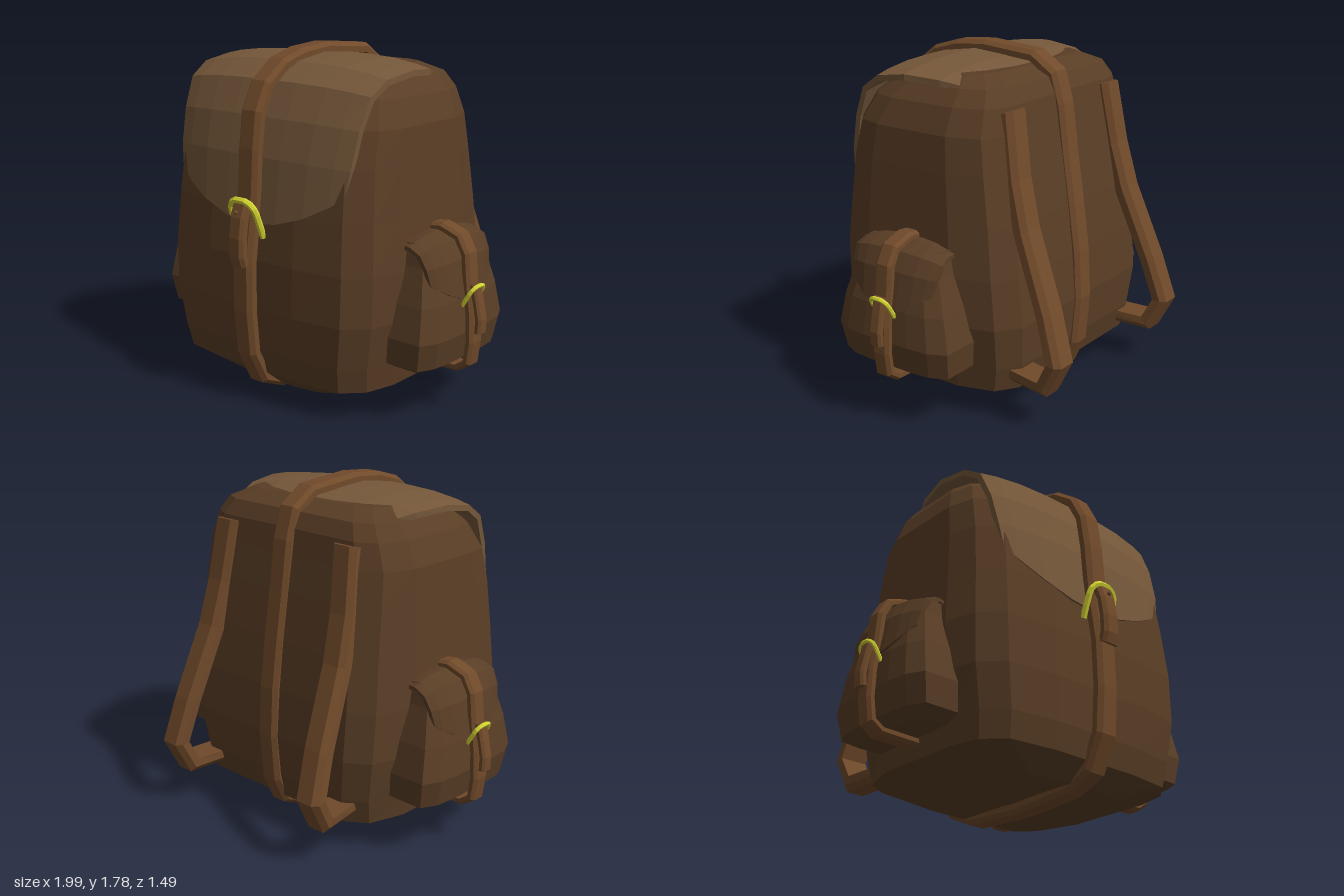
import * as THREE from 'three';

const V = (x, y, z) => new THREE.Vector3(x, y, z);
const paint = color => new THREE.MeshStandardMaterial({ color, flatShading: true });

// Skin a list of equal-length rings, with end caps unless the loop is closed
function loft(rings, closed = false) {
  const n = rings[0].length, m = rings.length, idx = [];
  for (let r = 0; r < (closed ? m : m - 1); r++) {
    const a = r * n, b = ((r + 1) % m) * n;
    for (let i = 0; i < n; i++) {
      const j = (i + 1) % n;
      idx.push(a + i, a + j, b + j, a + i, b + j, b + i);
    }
  }
  if (!closed) {
    const e = (m - 1) * n;
    for (let i = 0; i < n / 2 - 1; i++) {
      const j = n - 1 - i;
      idx.push(i, j, i + 1, i + 1, j, j - 1);
      idx.push(e + i, e + i + 1, e + j, e + i + 1, e + j - 1, e + j);
    }
  }
  const g = new THREE.BufferGeometry().setFromPoints(rings.flat());
  g.setIndex(idx);
  const flat = g.toNonIndexed();
  flat.computeVertexNormals();
  return flat;
}

// Sweep a section of [across, outward, along] points along a path; "across" is the x axis
function sweep(path, section, closed = false) {
  const m = path.length, X = V(1, 0, 0);
  return loft(path.map((p, i) => {
    const prev = closed || i > 0 ? path[(i + m - 1) % m] : null;
    const next = closed || i < m - 1 ? path[(i + 1) % m] : null;
    const d1 = (prev ? p.clone().sub(prev) : next.clone().sub(p)).normalize();
    const d2 = (next ? next.clone().sub(p) : d1.clone()).normalize();
    const T = d1.clone().add(d2).normalize();
    const N = T.clone().cross(X).normalize();
    const miter = 1 / Math.max(0.6, T.dot(d1));
    return section(i).map(([x, o, t = 0]) =>
      p.clone().addScaledVector(X, x).addScaledVector(N, o * miter).addScaledVector(T, t));
  }), closed);
}

// Leather band with a bevelled outer face
function band(path, w, t, closed = false) {
  const h = w / 2;
  const s = [[-h, -t / 2], [h, -t / 2], [h, t * 0.1], [h * 0.65, t / 2], [-h * 0.65, t / 2], [-h, t * 0.1]];
  return sweep(path, () => s, closed);
}

// Upright bag: rows of [y, halfWidth, zBack, zFront], outline given for the +x half
function bag(rows, half) {
  const outline = [...half, ...half.map(([u, v]) => [-u, v]).reverse()];
  return loft(rows.map(([y, hw, zb, zf]) =>
    outline.map(([u, v]) => V(u * hw, y, (zb + zf) / 2 + v * (zf - zb) / 2))));
}

// Curved cover flap: rows of [z, y, halfWidth], with a scalloped lower edge
function flap(rows, drop, thick, scallop) {
  const us = [1, 0.85, 0.6, 0.3, 0, -0.3, -0.6, -0.85, -1];
  const path = rows.map(([z, y]) => V(0, y, z));
  return sweep(path, i => {
    const hw = rows[i][2], last = i === rows.length - 1;
    const side = off => us.map(u =>
      [u * hw, -drop * Math.abs(u) ** 3 - off, last ? -scallop * u * u : 0]);
    return [...side(0), ...side(thick).reverse()];
  });
}

// Arched metal buckle leaning outward at the top
function buckle(hw, yTop, yBot, zTop, zBot, r) {
  const at = (x, k) => V(x * hw, yBot + (yTop - yBot) * k, zBot + (zTop - zBot) * k);
  const pts = [at(-1, 0), at(-1, 0.45), at(-0.92, 0.8), at(-0.5, 0.98), at(0, 1),
    at(0.5, 0.98), at(0.92, 0.8), at(1, 0.45), at(1, 0)];
  return new THREE.TubeGeometry(new THREE.CatmullRomCurve3(pts), 16, r, 6);
}

const zy = list => list.map(([z, y]) => V(0, y, z));

export function createModel() {
  const model = new THREE.Group();
  model.name = 'backpack';
  const cloth = paint(0x5a3e26), cover = paint(0x76583a), leather = paint(0x704a2a), metal = paint(0xd6d632);
  const add = (parent, name, geo, mat) => {
    const mesh = new THREE.Mesh(geo, mat);
    mesh.name = name;
    parent.add(mesh);
    return mesh;
  };

  // Main bag
  add(model, 'mainBag', bag([
    [0.06, 0.37, -0.28, 0.49], [0.15, 0.65, -0.44, 0.60], [0.28, 0.67, -0.47, 0.63],
    [0.50, 0.71, -0.49, 0.65], [0.75, 0.715, -0.47, 0.645], [1.00, 0.70, -0.44, 0.62],
    [1.25, 0.685, -0.40, 0.585], [1.43, 0.67, -0.37, 0.535], [1.56, 0.62, -0.35, 0.46],
    [1.64, 0.56, -0.31, 0.36], [1.69, 0.45, -0.20, 0.20],
  ], [[0.4, 1], [0.79, 0.94], [0.94, 0.75], [1, 0.45], [1, -0.5], [0.91, -0.86], [0.74, -1]]), cloth);

  // Main cover
  add(model, 'mainFlap', flap([
    [-0.22, 1.68, 0.50], [-0.05, 1.72, 0.58], [0.15, 1.735, 0.62], [0.35, 1.705, 0.61],
    [0.48, 1.62, 0.60], [0.555, 1.45, 0.585], [0.60, 1.26, 0.57], [0.64, 0.93, 0.55],
  ], 0.05, 0.03, 0.2), cover);

  // Strap around the whole bag
  add(model, 'mainStrap', band(zy([
    [-0.2, 1.73], [0.1, 1.755], [0.28, 1.74], [0.42, 1.70], [0.54, 1.61], [0.605, 1.48], [0.63, 1.3],
    [0.65, 1.0], [0.685, 0.75], [0.69, 0.5], [0.67, 0.27], [0.59, 0.11], [0.45, 0.05], [0.1, 0.03],
    [-0.25, 0.05], [-0.41, 0.12], [-0.47, 0.25], [-0.49, 0.5], [-0.475, 0.75], [-0.44, 1.0],
    [-0.40, 1.25], [-0.365, 1.5], [-0.32, 1.65],
  ]), 0.13, 0.05, true), leather);
  add(model, 'mainStrapEnd', band(zy([
    [0.68, 1.06], [0.715, 0.97], [0.73, 0.87], [0.73, 0.78], [0.715, 0.73],
  ]), 0.1, 0.04), leather);
  add(model, 'mainBuckle', buckle(0.085, 1.055, 0.87, 0.70, 0.63, 0.017), metal);
  add(model, 'mainBucklePin', new THREE.SphereGeometry(0.012, 6, 4), leather).position.set(0, 1.0, 0.73);

  // Side pockets, modelled facing +z and turned outward
  for (const side of [1, -1]) {
    const pocket = new THREE.Group();
    pocket.name = side > 0 ? 'leftPocket' : 'rightPocket';
    add(pocket, 'pocketBag', bag([
      [0.25, 0.26, 0.6, 0.83], [0.29, 0.33, 0.6, 0.895], [0.43, 0.35, 0.6, 0.925],
      [0.60, 0.315, 0.6, 0.905], [0.78, 0.26, 0.6, 0.86], [0.89, 0.24, 0.6, 0.78],
    ], [[0.4, 1], [0.74, 0.93], [1, 0.65], [1, -1]]), cloth);
    add(pocket, 'pocketFlap', flap([
      [0.64, 0.915, 0.25], [0.75, 0.92, 0.27], [0.84, 0.88, 0.275], [0.885, 0.79, 0.265], [0.92, 0.60, 0.25],
    ], 0.045, 0.02, 0.11), cloth);
    add(pocket, 'pocketStrap', band(zy([
      [0.66, 0.925], [0.76, 0.935], [0.86, 0.90], [0.905, 0.82], [0.92, 0.66], [0.94, 0.52],
      [0.945, 0.38], [0.93, 0.27], [0.87, 0.23], [0.66, 0.225],
    ]), 0.1, 0.035), leather);
    add(pocket, 'pocketStrapEnd', band(zy([
      [0.945, 0.67], [0.965, 0.59], [0.983, 0.5], [0.98, 0.43],
    ]), 0.07, 0.028), leather);
    add(pocket, 'pocketBuckle', buckle(0.055, 0.665, 0.565, 0.965, 0.905, 0.011), metal);
    pocket.rotation.y = side * Math.PI / 2;
    pocket.position.z = 0.05;
    model.add(pocket);

    // Shoulder strap
    const path = [[0.47, 0.235, -0.40], [0.50, 0.225, -0.63], [0.51, 0.37, -0.705], [0.49, 0.6, -0.63],
      [0.46, 0.98, -0.475], [0.445, 1.22, -0.41], [0.42, 1.54, -0.355]];
    add(model, side > 0 ? 'leftShoulderStrap' : 'rightShoulderStrap',
      band(path.map(([x, y, z]) => V(side * x, y, z)), 0.15, 0.07), leather);
  }
  return model;
}
